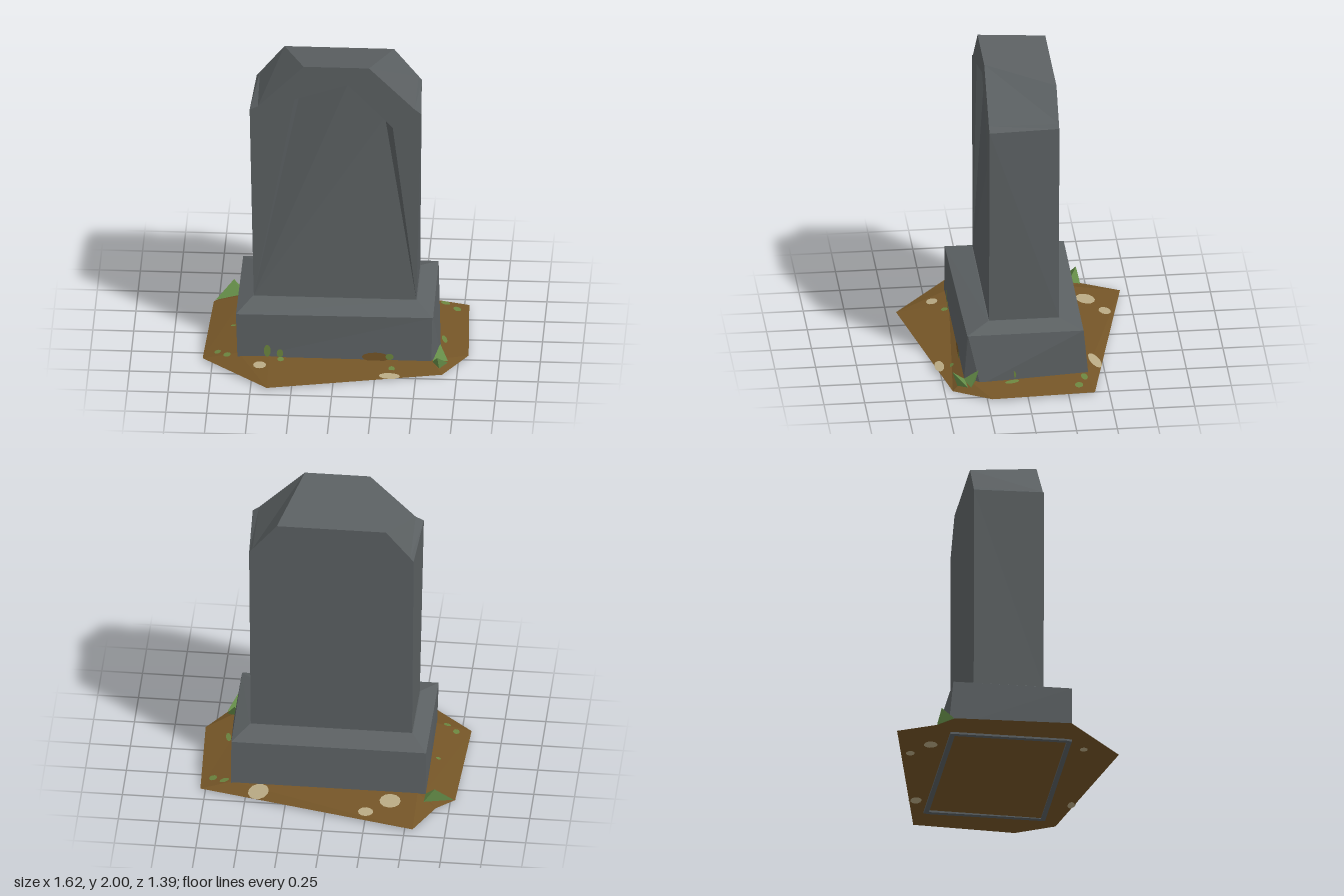
import * as THREE from 'three';

const mat = (name, color, side = THREE.FrontSide) => {
  const m = new THREE.MeshStandardMaterial({ color, side });
  m.name = name;
  return m;
};

// Flat-shaded mesh from triangles, each wound to face away from (or towards) a reference point
function facets(name, tris, material, ref, towards = false) {
  const pos = [];
  const r = new THREE.Vector3(...ref), n = new THREE.Vector3();
  for (const t of tris) {
    const [a, b, c] = t.map((p) => new THREE.Vector3(...p));
    THREE.Triangle.getNormal(a, b, c, n);
    if (n.lengthSq() === 0) continue;
    const mid = a.clone().add(b).add(c).divideScalar(3).sub(r);
    const ok = (n.dot(mid) > 0) !== towards;
    for (const p of ok ? [a, b, c] : [a, c, b]) pos.push(p.x, p.y, p.z);
  }
  const g = new THREE.BufferGeometry();
  g.setAttribute('position', new THREE.Float32BufferAttribute(pos, 3));
  g.computeVertexNormals();
  const mesh = new THREE.Mesh(g, material);
  mesh.name = name;
  return mesh;
}

// Triangles between two matching rings
function band(a, b, closed = true) {
  const out = [];
  for (let i = 0; i < a.length - (closed ? 0 : 1); i++) {
    const j = (i + 1) % a.length;
    out.push([a[i], a[j], b[j]], [a[i], b[j], b[i]]);
  }
  return out;
}

// Fill a polygon, triangulated in the plane of axes u and v
function fill(pts, u, v) {
  const flat = pts.map((p) => new THREE.Vector2(p[u], p[v]));
  return THREE.ShapeUtils.triangulateShape(flat, []).map((f) => f.map((i) => pts[i]));
}

export function createModel() {
  const model = new THREE.Group();
  model.name = 'gravestone';
  const stone = mat('grey stone', 0x5b6062);
  const soil = mat('brown soil', 0x745527);
  const pale = mat('pale pebble', 0xb8a983, THREE.DoubleSide);
  const moss = mat('moss green', 0x6b853f, THREE.DoubleSide);
  const grass = mat('grass green', 0x668f49, THREE.DoubleSide);

  // Upright slab: the back is lower and its shoulders are wider
  const front = [[-0.505, 0.39], [-0.53, 1.69], [-0.48, 1.715], [-0.2, 2], [0.2, 2],
    [0.48, 1.72], [0.52, 1.69], [0.49, 0.39]].map(([x, y]) => [x, y, 0.21]);
  const back = [[-0.5, 0.39], [-0.51, 1.69], [-0.49, 1.715], [-0.34, 1.9], [0.33, 1.9],
    [0.48, 1.715], [0.5, 1.69], [0.49, 0.39]].map(([x, y]) => [x, y, -0.22]);
  model.add(facets('slab', [...band(front, back), ...fill(back, 0, 1)], stone, [0, 1, 0]));

  // Front face with a sunken panel that tapers out at the foot
  const rim = [front[0], [-0.255, 1.77, 0.21], [0.07, 1.88, 0.21], [0.345, 1.59, 0.21], front[7]];
  const floor = [front[0], [-0.225, 1.78, 0.14], [0.07, 1.88, 0.195], [0.295, 1.63, 0.15], front[7]];
  const border = [...front, ...rim.slice(1, 4).reverse()];
  const panel = [1, 2, 3].map((i) => [floor[0], floor[i], floor[i + 1]]);
  model.add(facets('slabFront', fill(border, 0, 1), stone, [0, 1, 2], true));
  model.add(facets('sunkenPanel', [...panel, ...band(rim, floor, false)], stone, [0, 1, 1], true));

  // Plinth with a sloped top and one chipped front corner
  const foot = [[-0.595, 0.375], [0.59, 0.375], [0.645, 0.28], [0.595, -0.39], [-0.6, -0.39]]
    .map(([x, z]) => [x, 0.03, z]);
  const ledge = [[-0.605, 0.37], [0.595, 0.355], [0.6, 0.35], [0.595, -0.36], [-0.6, -0.36]]
    .map(([x, z]) => [x, 0.345, z]);
  const neck = [[-0.51, 0.215], [0.495, 0.215], [0.495, 0.21], [0.495, -0.225], [-0.505, -0.225]]
    .map(([x, z]) => [x, 0.39, z]);
  model.add(facets('plinth', [...band(foot, ledge), ...band(ledge, neck), ...fill(neck, 0, 2)],
    stone, [0, 0.2, 0]));

  // Mound of soil rising to the plinth
  const edge = [[-0.55, -0.7], [0.78, -0.41], [0.81, 0.22], [0.66, 0.45], [-0.4, 0.69],
    [-0.81, 0.34], [-0.78, -0.375], [-0.67, -0.47]].map(([x, z], i) => [x, i === 3 ? 0.004 : 0.014, z]);
  const clamp = THREE.MathUtils.clamp;
  const crest = edge.map(([x, , z]) => [clamp(x, -0.59, 0.59), 0.06, clamp(z, -0.38, 0.365)]);
  const moundTop = facets('moundTop', band(edge, crest), soil, [0, -5, 0]);
  const moundBase = facets('moundBase', fill(edge, 0, 2), soil, [0, 5, 0]);
  model.add(moundTop, moundBase);

  // Buried stone footing just visible underneath
  for (const s of [-1, 1]) {
    for (const [w, d, x, z] of [[1.16, 0.03, 0, s * 0.36], [0.03, 0.72, s * 0.57, 0]]) {
      const bar = new THREE.Mesh(new THREE.BoxGeometry(w, 0.02, d), stone);
      bar.position.set(x, 0.01, z);
      bar.name = 'footing';
      model.add(bar);
    }
  }

  // Thin round patch laid on a surface
  function patch(name, material, p, normal, rx, ry) {
    const m = new THREE.Mesh(new THREE.CircleGeometry(1, 12), material);
    m.name = name;
    m.scale.set(rx, ry, 1);
    m.quaternion.setFromUnitVectors(new THREE.Vector3(0, 0, 1), normal);
    m.position.copy(p).addScaledVector(normal, 0.004);
    model.add(m);
  }
  const ray = new THREE.Raycaster();
  function onGround(name, material, x, z, rx, rz, up = 1) {
    ray.set(new THREE.Vector3(x, up, z), new THREE.Vector3(0, -up, 0));
    const hit = ray.intersectObject(up > 0 ? moundTop : moundBase)[0];
    if (hit) patch(name, material, hit.point, hit.face.normal, rx, rz);
  }

  // Pebbles show on both sides of the mound
  for (const [x, z, rx, rz] of [[-0.39, -0.47, 0.065, 0.06], [-0.25, -0.575, 0.047, 0.038],
    [0.42, -0.445, 0.065, 0.05], [-0.455, 0.465, 0.04, 0.035], [0.34, 0.5, 0.065, 0.03]]) {
    onGround('pebble', pale, x, z, rx, rz);
    onGround('pebbleUnderside', pale, x, z, rx * 0.7, rz * 0.7, -1);
  }

  // Moss on the soil
  for (const [x, z, rx, rz] of [[0.637, -0.36, 0.03, 0.02], [0.71, -0.32, 0.025, 0.026],
    [-0.64, -0.01, 0.016, 0.012], [-0.72, 0.295, 0.02, 0.024], [-0.66, 0.345, 0.023, 0.02],
    [-0.33, 0.4, 0.02, 0.022], [0.35, 0.425, 0.02, 0.018], [0.655, 0.085, 0.016, 0.045]]) {
    onGround('groundMoss', moss, x, z, rx, rz);
  }

  // Moss and a smear of soil on the plinth walls
  const Z = new THREE.Vector3(0, 0, 1), X = new THREE.Vector3(1, 0, 0);
  for (const [x, y, rx, ry] of [[-0.413, 0.1, 0.021, 0.042], [-0.335, 0.085, 0.02, 0.028], [0.335, 0.08, 0.025, 0.022]]) {
    patch('wallMoss', moss, new THREE.Vector3(x, y, 0.376), Z, rx, ry);
  }
  patch('wallMoss', moss, new THREE.Vector3(0.625, 0.08, 0.09), X, 0.033, 0.034);
  patch('soilSmear', soil, new THREE.Vector3(0.25, 0.075, 0.375), Z, 0.085, 0.032);

  // Pointed grass tufts at two opposite corners
  const tufts = [
    [[-0.66, 0.135, -0.44], [-0.77, 0.02, -0.38], [-0.6, 0.06, -0.39], [-0.595, 0.05, -0.46]],
    [[0.63, 0.12, 0.45], [0.595, 0.05, 0.37], [0.69, 0.04, 0.36], [0.64, 0.03, 0.42]],
    [[0.64, 0.13, 0.29], [0.595, 0.05, 0.38], [0.69, 0.04, 0.34], [0.61, 0.05, 0.3]],
  ];
  for (const [tip, ...base] of tufts) {
    const c = [0, 1, 2].map((k) => (tip[k] + base[0][k] + base[1][k] + base[2][k]) / 4);
    model.add(facets('grassTuft', base.map((p, i) => [tip, p, base[(i + 1) % 3]]), grass, c));
  }
  return model;
}
